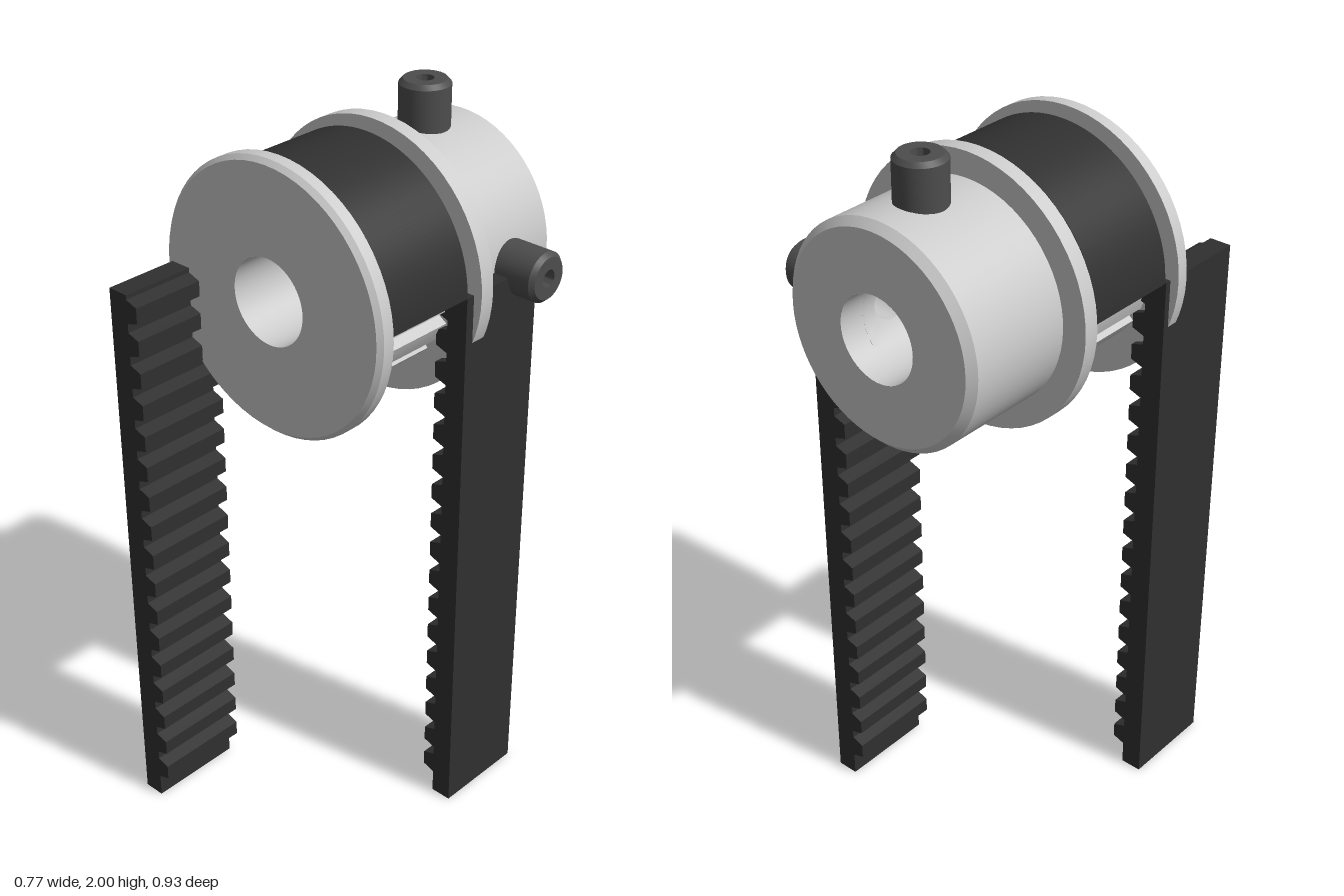
import * as THREE from 'three';
import { toCreasedNormals } from 'three/addons/utils/BufferGeometryUtils.js';

const AXLE = { x: -0.027, y: 1.59 };
const BORE = 0.115, SCREW_Z = -0.302;
const TEETH = 16, STEP = (Math.PI * 2) / TEETH, PHASE = THREE.MathUtils.degToRad(5.2);
const BELT = { outer: 0.338, inner: 0.278, tip: 0.243, width: 0.27 };

const metal = new THREE.MeshStandardMaterial({ color: 0xcccccc });
const metalThin = new THREE.MeshStandardMaterial({ color: 0xcccccc, side: THREE.DoubleSide });
const rubber = new THREE.MeshStandardMaterial({ color: 0x303030 });
const steel = new THREE.MeshStandardMaterial({ color: 0x4d4d4d });

function mesh(name, geometry, material) {
  const m = new THREE.Mesh(geometry, material);
  m.name = name;
  return m;
}

const polar = (r, a) => new THREE.Vector2(r * Math.cos(a), r * Math.sin(a));

function lathe(points, segments) {
  const g = new THREE.LatheGeometry(points.map(([r, y]) => new THREE.Vector2(r, y)), segments);
  return toCreasedNormals(g, 0.5);
}

// Extrusion along z between two depths
function extrude(shape, z0, z1) {
  const g = new THREE.ExtrudeGeometry(shape, { depth: z1 - z0, bevelEnabled: false, curveSegments: 48 });
  g.translate(0, 0, z0);
  return toCreasedNormals(g, 0.4);
}

// Wheel with narrow tapered grooves and a round bore
function grooveWheel() {
  const pts = [];
  for (let i = 0; i < TEETH; i++) {
    const a = PHASE + i * STEP;
    pts.push(polar(0.275, a - 0.088), polar(0.24, a - 0.06), polar(0.24, a + 0.06), polar(0.275, a + 0.088));
    pts.push(polar(0.275, a + STEP / 2));
  }
  const shape = new THREE.Shape(pts);
  shape.holes.push(new THREE.Path().absarc(0, 0, BORE, 0, Math.PI * 2, true));
  return extrude(shape, -0.11, 0.215);
}

// Half loop of belt whose teeth sit in the grooves
function beltArc() {
  const shape = new THREE.Shape();
  shape.absarc(0, 0, BELT.outer, 0, Math.PI, false);
  const inner = [polar(BELT.inner, Math.PI)];
  for (let i = TEETH / 2 - 1; i >= 0; i--) {
    const a = PHASE + i * STEP;
    inner.push(polar(BELT.inner, a + STEP / 2), polar(BELT.inner, a + 0.085), polar(BELT.tip, a + 0.057));
    inner.push(polar(BELT.tip, a - 0.057), polar(BELT.inner, a - 0.085));
  }
  inner.push(polar(BELT.inner, 0));
  inner.forEach((p) => shape.lineTo(p.x, p.y));
  return extrude(shape, -0.08, 0.19);
}

// Straight toothed belt hanging from axle height; side is +1 or -1 in x
function beltStrand(side, z0) {
  const pts = [[BELT.outer, AXLE.y], [BELT.outer, 0], [BELT.inner, 0]];
  for (let i = 0; i < 17; i++) {
    const y = 0.1 + i * 0.0903;
    pts.push([BELT.inner, y - 0.033], [BELT.tip, y - 0.021], [BELT.tip, y + 0.021], [BELT.inner, y + 0.033]);
  }
  pts.push([BELT.inner, AXLE.y]);
  const shape = new THREE.Shape(pts.map(([x, y]) => new THREE.Vector2(side * x, y - AXLE.y)));
  return extrude(shape, z0, z0 + BELT.width);
}

// Length of bore wall, whole or partial
function boreWall(z0, z1, start = 0, sweep = Math.PI * 2) {
  const g = new THREE.CylinderGeometry(BORE, BORE, z1 - z0, 48, 1, true, start, sweep);
  return g.rotateX(Math.PI / 2).translate(0, 0, (z0 + z1) / 2);
}

const HALF = (BORE * Math.PI) / 4, HOLE = 0.05;

// Quarter of the bore wall pierced by a round hole
function piercedWall() {
  const g = new THREE.RingGeometry(1, 2, 32, 4);
  const p = g.attributes.position;
  for (let i = 0; i < p.count; i++) {
    const t = Math.hypot(p.getX(i), p.getY(i)) - 1;
    const c = p.getX(i) / (t + 1), s = p.getY(i) / (t + 1);
    const square = HALF / Math.max(Math.abs(c), Math.abs(s));
    const r = THREE.MathUtils.lerp(HOLE, square, t);
    const a = (r * c) / BORE;
    p.setXYZ(i, BORE * Math.sin(a), BORE * Math.cos(a), SCREW_Z - r * s);
  }
  g.computeVertexNormals();
  return g;
}

// Radial hole whose inner rim follows the bore
function screwHole() {
  const g = new THREE.CylinderGeometry(HOLE, HOLE, 1, 32, 1, true);
  const p = g.attributes.position;
  for (let i = 0; i < p.count; i++) {
    const a = p.getX(i) / BORE;
    if (p.getY(i) > 0) p.setY(i, 0.275);
    else { p.setX(i, BORE * Math.sin(a)); p.setY(i, BORE * Math.cos(a)); }
  }
  return g.translate(0, 0, SCREW_Z);
}

// Set screw with chamfered end and socket, together with its hole
function setScrew(name, angle) {
  const group = new THREE.Group();
  group.name = name;
  const body = mesh('screwBody', lathe([
    [0, 0.27], [0.067, 0.27], [0.067, 0.4], [0.056, 0.412], [0.023, 0.412], [0.023, 0.37], [0, 0.37],
  ], 32), steel);
  body.position.z = SCREW_Z;
  group.add(body, mesh('screwHole', screwHole(), metalThin), mesh('piercedBoreWall', piercedWall(), metalThin));
  group.rotation.z = angle;
  return group;
}

export function createModel() {
  const model = new THREE.Group();
  model.name = 'beltPulley';
  const assembly = new THREE.Group();
  assembly.name = 'pulleyAssembly';
  assembly.position.set(AXLE.x, AXLE.y, 0);
  model.add(assembly);

  // Hub with rear flange, and the front flange
  const hub = lathe([
    [BORE, -0.465], [0.275, -0.465], [0.295, -0.445], [0.295, -0.148],
    [0.362, -0.148], [0.362, -0.105], [BORE, -0.105],
  ], 64).rotateX(Math.PI / 2);
  const flange = lathe([
    [BORE, 0.212], [0.362, 0.212], [0.362, 0.245], [0.35, 0.258], [BORE, 0.258],
  ], 64).rotateX(Math.PI / 2);
  assembly.add(mesh('hubAndRearFlange', hub, metal), mesh('frontFlange', flange, metal));
  assembly.add(mesh('toothedWheel', grooveWheel(), metal));

  // Bore lining, leaving room for the pierced quarters
  const z0 = SCREW_Z - HALF, z1 = SCREW_Z + HALF;
  assembly.add(
    mesh('rearBore', boreWall(-0.465, z0), metalThin),
    mesh('middleBore', boreWall(z0, z1, -Math.PI * 0.75, Math.PI), metalThin),
    mesh('frontBore', boreWall(z1, 0.258), metalThin),
  );

  // Set screws
  assembly.add(setScrew('topSetScrew', 0), setScrew('leftSetScrew', -Math.PI / 2));

  // Belt: arc over the wheel and two offset strands
  assembly.add(
    mesh('beltArc', beltArc(), rubber),
    mesh('rightBeltStrand', beltStrand(-1, 0.195), rubber),
    mesh('leftBeltStrand', beltStrand(1, -0.35), rubber),
  );
  return model;
}
